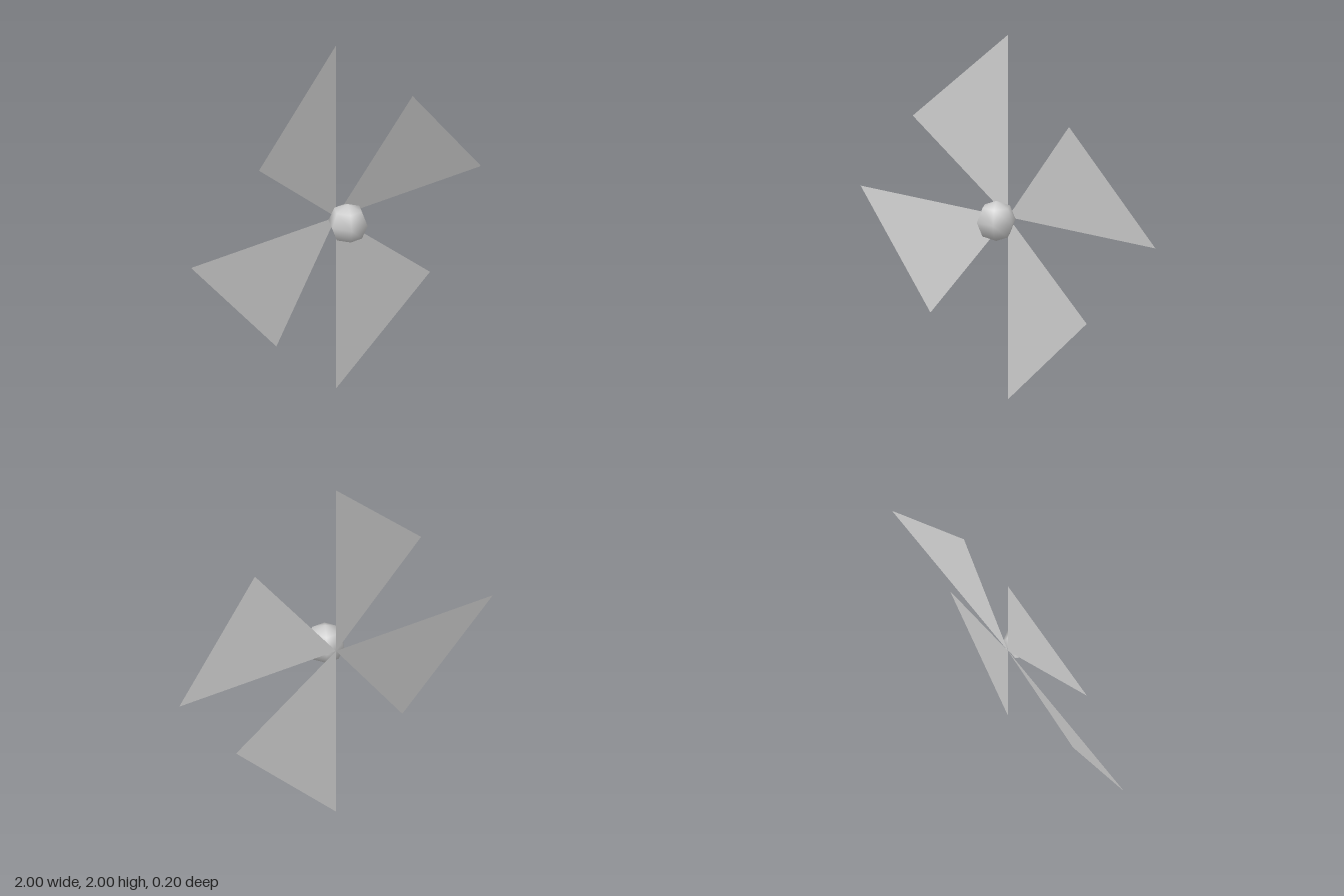
import * as THREE from 'three';

export function createModel() {
  const model = new THREE.Group();
  model.name = 'pinwheel';

  const grey = new THREE.MeshStandardMaterial({ color: 0xcccccc, side: THREE.DoubleSide });
  grey.name = 'light grey';

  // Low-sided round hub in the middle
  const hub = new THREE.Mesh(new THREE.SphereGeometry(0.11, 6, 4), grey);
  hub.name = 'hub';
  hub.position.y = 1;
  model.add(hub);

  // One triangular sail: straight edge at the back, free corner tilted forward
  const sail = new THREE.BufferGeometry();
  sail.setAttribute('position', new THREE.Float32BufferAttribute([
    0, 0, -0.1,
    0, 1, -0.1,
    -0.59, 0.47, -0.03,
  ], 3));
  sail.computeVertexNormals();

  // Four sails, a quarter turn apart
  for (let i = 0; i < 4; i++) {
    const blade = new THREE.Mesh(sail, grey);
    blade.name = 'blade' + (i + 1);
    blade.position.y = 1;
    blade.rotation.z = i * Math.PI / 2;
    model.add(blade);
  }
  return model;
}
